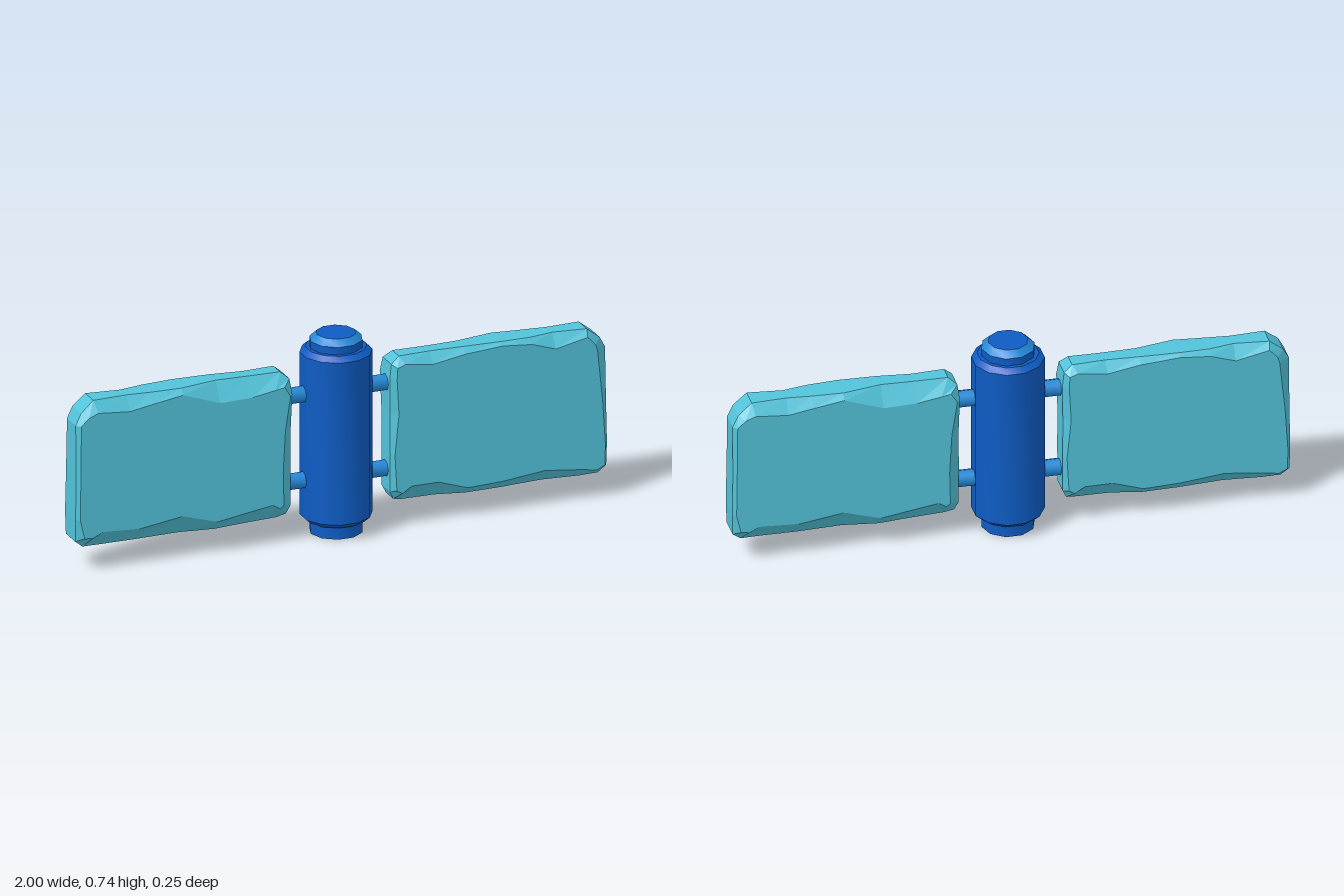
import * as THREE from 'three';
import { toCreasedNormals } from 'three/addons/utils/BufferGeometryUtils.js';

const paint = (name, color) => Object.assign(new THREE.MeshStandardMaterial({ color }), { name });

// Turned part from a [radius, height] profile, listed from bottom to top
function turned(name, profile, sides, crease, material) {
  const points = profile.map(([r, y]) => new THREE.Vector2(r, y));
  const geometry = new THREE.LatheGeometry(points, sides, Math.PI / sides);
  const mesh = new THREE.Mesh(toCreasedNormals(geometry, crease), material);
  mesh.name = name;
  return mesh;
}

// Chipped slab outline, counter-clockwise: x, y, front chip width, back chip width
const OUTLINE = [
  [0.185, 0.13, 0.02, 0.04], [0.2, 0.1, 0.035, 0.05], [0.235, 0.088, 0.065, 0.07],
  [0.36, 0.088, 0.06, 0.05], [0.47, 0.086, 0.025, 0.035], [0.6, 0.086, 0.03, 0.075],
  [0.76, 0.088, 0.045, 0.05], [0.9, 0.086, 0.03, 0.06], [0.965, 0.09, 0.02, 0.045],
  [0.995, 0.115, 0.012, 0.03], [0.998, 0.2, 0.012, 0.012], [0.996, 0.36, 0.02, 0.012],
  [0.997, 0.55, 0.04, 0.015], [0.975, 0.59, 0.03, 0.025], [0.925, 0.63, 0.025, 0.04],
  [0.8, 0.63, 0.05, 0.05], [0.71, 0.63, 0.02, 0.035], [0.6, 0.632, 0.012, 0.02],
  [0.46, 0.632, 0.022, 0.07], [0.34, 0.63, 0.04, 0.065], [0.22, 0.63, 0.03, 0.06],
  [0.19, 0.605, 0.02, 0.035], [0.184, 0.55, 0.02, 0.012], [0.186, 0.42, 0.025, 0.03],
  [0.184, 0.27, 0.012, 0.04],
];

function slabGeometry() {
  const half = 0.063;
  const n = OUTLINE.length;
  // Move an outline point towards the middle of the slab
  const inset = (x, y, d) => {
    const dir = new THREE.Vector2(
      THREE.MathUtils.clamp(x, 0.27, 0.91) - x,
      THREE.MathUtils.clamp(y, 0.17, 0.55) - y
    ).normalize();
    return [x + dir.x * d, y + dir.y * d];
  };
  const depth = (d) => Math.min(0.045, 0.008 + d * 0.55);
  const rings = [
    OUTLINE.map(([x, y, , b]) => [...inset(x, y, b), -half]),
    OUTLINE.map(([x, y, , b]) => [x, y, -half + depth(b)]),
    OUTLINE.map(([x, y, f]) => [x, y, half - depth(f)]),
    OUTLINE.map(([x, y, f]) => [...inset(x, y, f), half]),
  ];
  const index = [];
  for (let r = 0; r < 3; r++) {
    for (let i = 0; i < n; i++) {
      const a = r * n + i;
      const b = r * n + ((i + 1) % n);
      index.push(a, b, b + n, a, b + n, a + n);
    }
  }
  // Flat front and back faces
  for (const r of [0, 3]) {
    const contour = rings[r].map(([x, y]) => new THREE.Vector2(x, y));
    for (const [a, b, c] of THREE.ShapeUtils.triangulateShape(contour, [])) {
      const o = r * n;
      if (r) index.push(o + a, o + b, o + c);
      else index.push(o + a, o + c, o + b);
    }
  }
  const geometry = new THREE.BufferGeometry();
  geometry.setAttribute('position', new THREE.Float32BufferAttribute(rings.flat(2), 3));
  geometry.setIndex(index);
  const flat = geometry.toNonIndexed();
  flat.computeVertexNormals();
  return flat;
}

export function createModel() {
  const group = new THREE.Group();
  group.name = 'hinge';
  const blue = paint('deep blue', 0x0e5cc4);
  const lightBlue = paint('light blue', 0x2289d8);
  const cyan = paint('cyan', 0x52c3da);

  // Upright barrel with chamfered ends
  group.add(turned('barrel', [
    [0, 0.048], [0.108, 0.048], [0.128, 0.066], [0.128, 0.67], [0.108, 0.688], [0, 0.688],
  ], 12, 0.6, blue));

  // Pin ends above and below the barrel
  group.add(turned('bottomCap', [[0, 0], [0.095, 0], [0.095, 0.06]], 10, 0.68, blue));
  group.add(turned('topCap', [[0.095, 0.68], [0.095, 0.716]], 10, 0.68, blue));
  group.add(turned('topCapBevel', [[0.095, 0.716], [0.071, 0.738]], 10, 0.68, lightBlue));
  group.add(turned('topCapFace', [[0.071, 0.738], [0, 0.738]], 10, 0.68, blue));

  // Two matching wings, half a turn apart
  const slab = slabGeometry();
  const pegShape = toCreasedNormals(new THREE.CylinderGeometry(0.031, 0.031, 0.12, 8), 0.9);
  for (const [name, turn] of [['leftWing', 0], ['rightWing', Math.PI]]) {
    const wing = new THREE.Group();
    wing.name = name;
    wing.rotation.y = turn;
    const panel = new THREE.Mesh(slab, cyan);
    panel.name = 'stonePanel';
    wing.add(panel);
    for (const y of [0.205, 0.525]) {
      const peg = new THREE.Mesh(pegShape, lightBlue);
      peg.name = 'peg';
      peg.rotation.z = Math.PI / 2;
      peg.position.set(0.16, y, 0);
      wing.add(peg);
    }
    group.add(wing);
  }
  return group;
}
